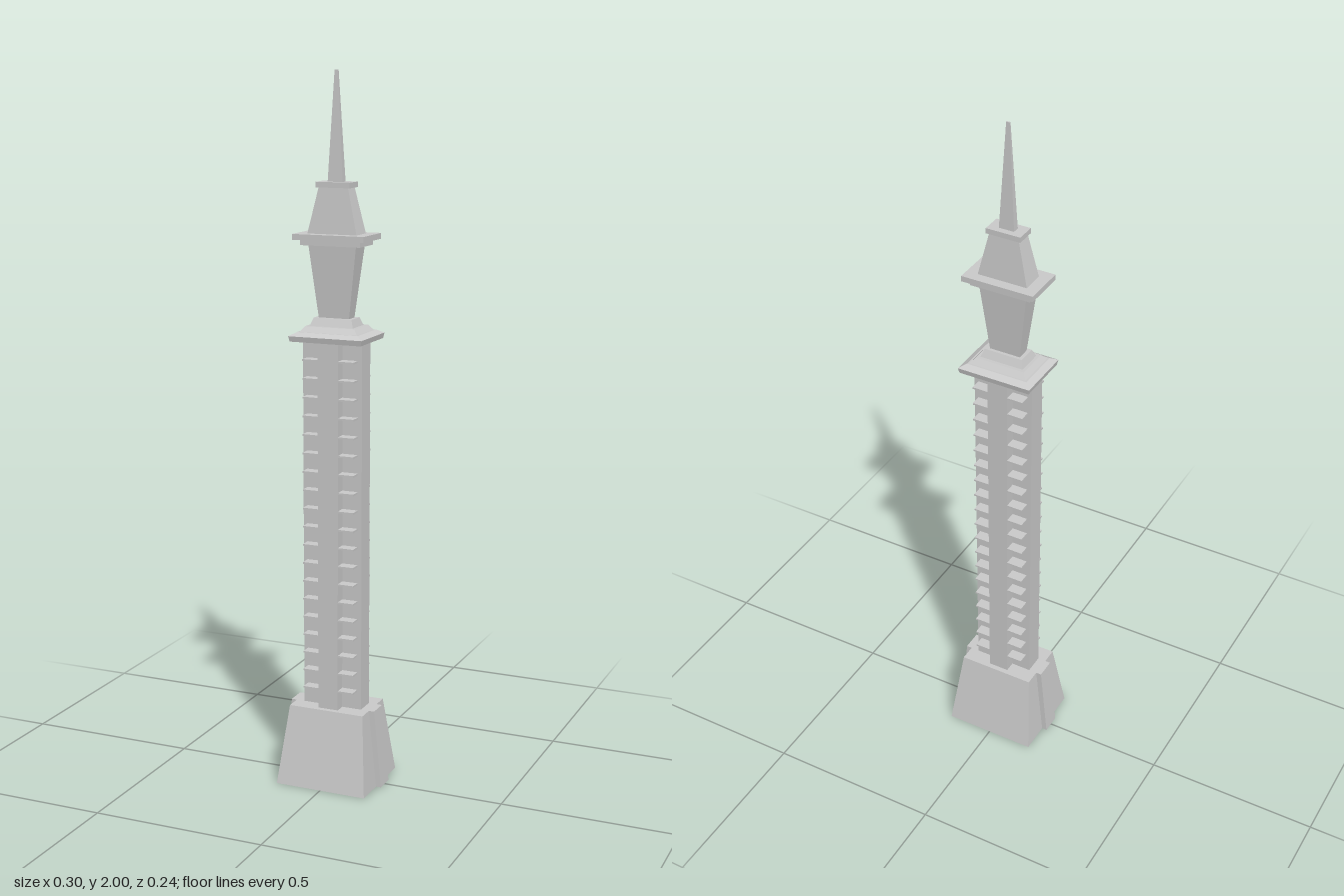
import * as THREE from 'three';

const material = new THREE.MeshStandardMaterial({ color: 0xcccccc, flatShading: true });

// Rectangular frustum: half sizes (x0, z0) at height y0 taper to (x1, z1) at y1
function frustum(name, y0, x0, z0, y1, x1 = x0, z1 = z0) {
  let geo = new THREE.BoxGeometry(2, 2, 2);
  const p = geo.attributes.position;
  for (let i = 0; i < p.count; i++) {
    const top = p.getY(i) > 0;
    p.setXYZ(i, p.getX(i) * (top ? x1 : x0), top ? y1 : y0, p.getZ(i) * (top ? z1 : z0));
  }
  geo.computeVertexNormals();
  const mesh = new THREE.Mesh(geo, material);
  mesh.name = name;
  return mesh;
}

export function createModel() {
  const tower = new THREE.Group();
  tower.name = 'tower';

  // Sloped plinth with a buttress on both narrow sides
  tower.add(frustum('plinth', 0, 0.135, 0.119, 0.225, 0.112, 0.076));
  tower.add(frustum('plinthButtresses', 0, 0.15, 0.029, 0.225, 0.128, 0.029));

  // Cross-shaped shaft
  tower.add(frustum('shaftFrontBack', 0.225, 0.03, 0.061, 1.28));
  tower.add(frustum('shaftSides', 0.225, 0.088, 0.029, 1.28));

  // Thin balcony slabs in the four notched corners
  const balconies = new THREE.Group();
  balconies.name = 'cornerBalconies';
  const slab = new THREE.BoxGeometry(0.047, 0.005, 0.034);
  for (let i = 0; i < 19; i++) {
    for (const sx of [-1, 1]) {
      for (const sz of [-1, 1]) {
        const balcony = new THREE.Mesh(slab, material);
        balcony.name = 'balcony';
        balcony.position.set(sx * 0.0525, 0.28 + i * 0.0524, sz * 0.044);
        balconies.add(balcony);
      }
    }
  }
  tower.add(balconies);

  // Stepped cornice with sloped tiers
  tower.add(frustum('corniceSlab', 1.275, 0.105, 0.08, 1.29, 0.108, 0.083));
  tower.add(frustum('corniceLowerSlope', 1.29, 0.108, 0.083, 1.3, 0.09, 0.065));
  tower.add(frustum('corniceMiddleTier', 1.3, 0.085, 0.06, 1.315, 0.073, 0.048));
  tower.add(frustum('corniceUpperTier', 1.315, 0.064, 0.038, 1.337, 0.056, 0.028));

  // Flaring lantern and gallery
  tower.add(frustum('lantern', 1.337, 0.045, 0.019, 1.535, 0.07, 0.031));
  tower.add(frustum('galleryBracket', 1.535, 0.088, 0.046, 1.55));
  tower.add(frustum('gallerySlab', 1.55, 0.105, 0.062, 1.566));

  // Tapered upper storey, cap and spire
  tower.add(frustum('upperStorey', 1.566, 0.072, 0.033, 1.69, 0.043, 0.023));
  tower.add(frustum('cap', 1.69, 0.05, 0.028, 1.705));
  tower.add(frustum('spire', 1.705, 0.022, 0.01, 2, 0.005, 0.002));

  return tower;
}
